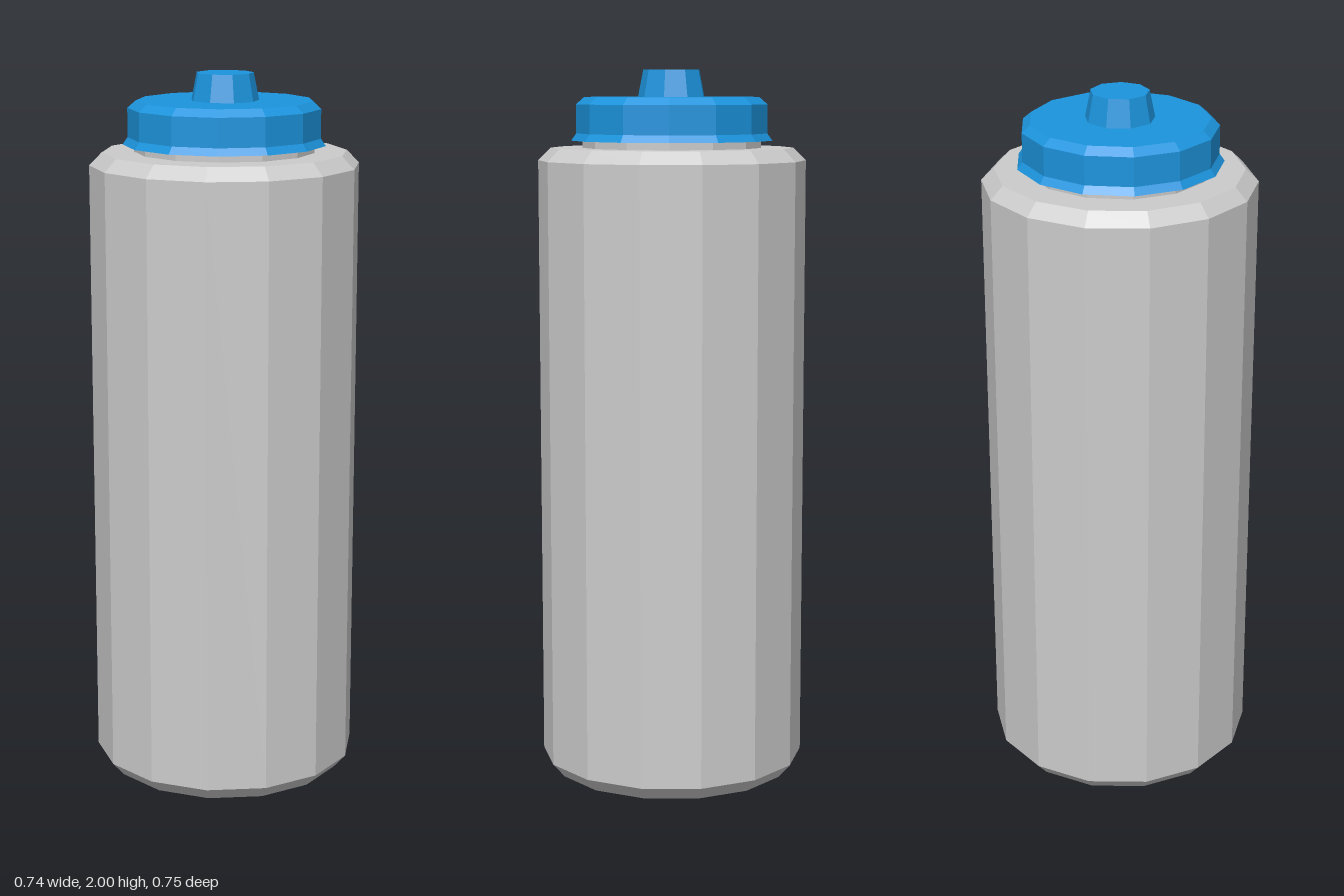
import * as THREE from 'three';

const grey = new THREE.MeshStandardMaterial({ color: 0xcccccc, flatShading: true });
const blue = new THREE.MeshStandardMaterial({ color: 0x1c94dd, flatShading: true });

// Faceted turned part from [radius, height] pairs, listed bottom to top
function turned(name, profile, sides, material, turn = 0) {
  const points = profile.map(([r, y]) => new THREE.Vector2(r, y));
  const mesh = new THREE.Mesh(new THREE.LatheGeometry(points, sides, turn), material);
  mesh.name = name;
  return mesh;
}

export function createModel() {
  const bottle = new THREE.Group();
  bottle.name = 'bottle';

  // Straight body with bevelled base and shoulder
  bottle.add(turned('body', [
    [0, 0], [0.34, 0], [0.375, 0.04], [0.375, 1.75], [0.34, 1.785], [0, 1.785],
  ], 14, grey, 0.1));

  // Short neck showing between the shoulder and the cap
  bottle.add(turned('neck', [[0.25, 1.78], [0.25, 1.83]], 13, grey, 0.2));

  // Cap with a thin flared lip and a bevelled top edge
  bottle.add(turned('cap', [
    [0, 1.805], [0.282, 1.805], [0.268, 1.825], [0.268, 1.905], [0.245, 1.925], [0, 1.925],
  ], 13, blue, 0.2));

  // Tapered nozzle
  bottle.add(turned('nozzle', [[0.096, 1.92], [0.08, 2], [0, 2]], 9, blue, 0.05));

  return bottle;
}
